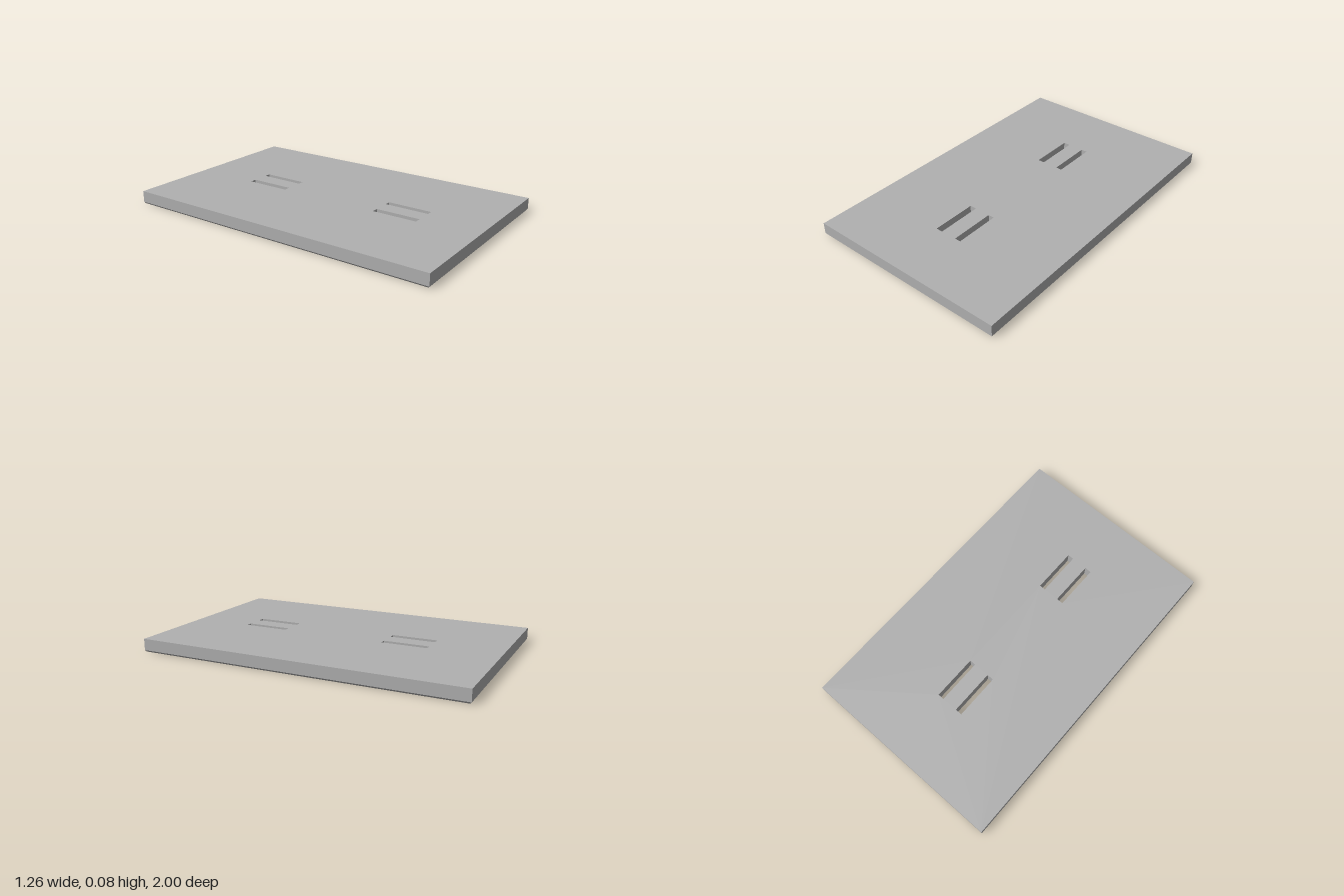
import * as THREE from 'three';

const W = 0.632, L = 1;             // half width and half length of the plate
const H = 0.08, STEP = 0.01;        // thickness, depth of the face layer
const CX = -0.01, CENTRES = [-0.44, 0.49], R = 0.305, GAP = 0.01;
const SLOTS = [[-0.1, -0.058], [0.042, 0.08]], SLOT_HALF = 0.14;

const rect = (C, x0, z0, x1, z1) => new C([
  new THREE.Vector2(x0, z0), new THREE.Vector2(x1, z0),
  new THREE.Vector2(x1, z1), new THREE.Vector2(x0, z1)]);

const slotHoles = (cz) => SLOTS.map(([a, b]) => rect(THREE.Path, a, cz - SLOT_HALF, b, cz + SLOT_HALF));

// Extrudes a plan outline (x, z) between two heights.
function slab(shape, y0, y1) {
  const g = new THREE.ExtrudeGeometry(shape, { depth: y1 - y0, bevelEnabled: false, curveSegments: 48 });
  return g.rotateX(Math.PI / 2).translate(0, y1, 0);
}

export function createModel() {
  const group = new THREE.Group();
  const grey = new THREE.MeshStandardMaterial({ color: 0xb0b0b0 });
  grey.name = 'plate grey';
  const add = (name, geometry) => {
    const mesh = new THREE.Mesh(geometry, grey);
    mesh.name = name;
    group.add(mesh);
  };

  // Main slab with two pairs of through slots
  const core = rect(THREE.Shape, -W, -L, W, L);
  core.holes = CENTRES.flatMap(slotHoles);
  add('plateBody', slab(core, STEP, H));

  // Thin lower layer with round openings and a chamfered rim
  const face = rect(THREE.Shape, -W, -L, W, L);
  face.holes = CENTRES.map((cz) => new THREE.Path().absarc(CX, cz, R, 0, Math.PI * 2));
  const faceGeo = slab(face, 0, STEP);
  const p = faceGeo.attributes.position;
  for (let i = 0; i < p.count; i++) {
    if (p.getY(i) > STEP / 2 || Math.abs(p.getX(i)) < W - 0.001) continue;
    p.setX(i, Math.sign(p.getX(i)) * (W - 0.008));
    p.setZ(i, Math.sign(p.getZ(i)) * (L - 0.008));
  }
  faceGeo.computeVertexNormals();
  add('chamferedFace', faceGeo);

  // Round socket faces, set off by a narrow groove
  CENTRES.forEach((cz, i) => {
    const disc = new THREE.Shape().absarc(CX, cz, R - GAP, 0, Math.PI * 2);
    disc.holes = slotHoles(cz);
    add(i ? 'frontSocketFace' : 'backSocketFace', slab(disc, 0, STEP));
  });
  return group;
}
